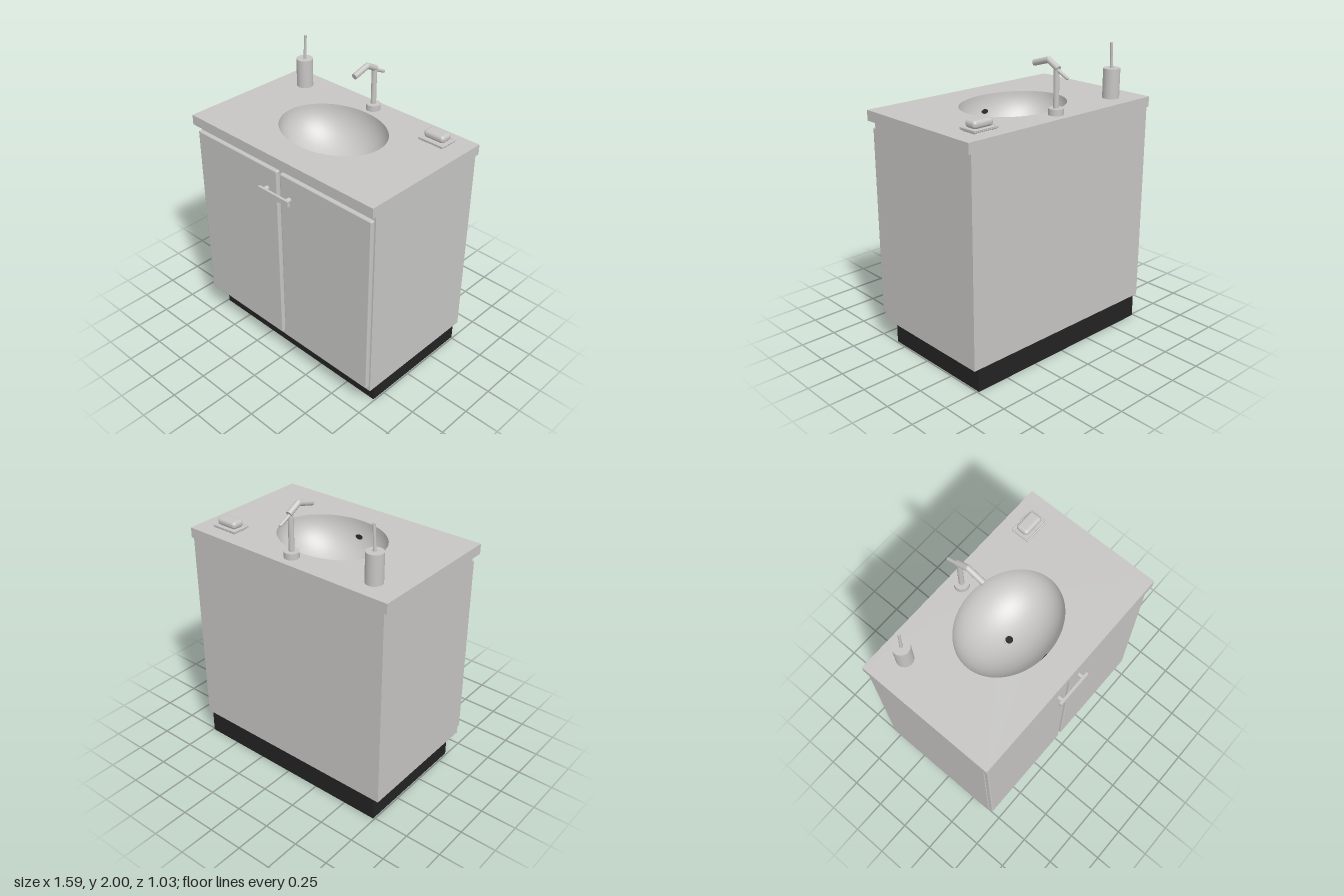
import * as THREE from 'three';
import { RoundedBoxGeometry } from 'three/addons/geometries/RoundedBoxGeometry.js';

const COUNTER_Y = 1.63;
const BOWL = { z: -0.03, rx: 0.388, rz: 0.31, depth: 0.3 };

export function createModel() {
  const model = new THREE.Group();
  model.name = 'washbasinCabinet';
  const grey = new THREE.MeshStandardMaterial({ name: 'light grey', color: 0xc6c5c3 });
  const bowlGrey = new THREE.MeshStandardMaterial({ name: 'bowl grey', color: 0xc8c7c5, side: THREE.DoubleSide });
  const black = new THREE.MeshStandardMaterial({ name: 'black', color: 0x232323 });

  const add = (name, geometry, material = grey, x = 0, y = 0, z = 0) => {
    const mesh = new THREE.Mesh(geometry, material);
    mesh.name = name;
    mesh.position.set(x, y, z);
    model.add(mesh);
    return mesh;
  };
  // Box given by its limits; a radius rounds the edges
  const box = (name, [x0, x1], [y0, y1], [z0, z1], material = grey, radius = 0) => {
    const size = [x1 - x0, y1 - y0, z1 - z0];
    const geometry = radius ? new RoundedBoxGeometry(...size, 3, radius) : new THREE.BoxGeometry(...size);
    return add(name, geometry, material, (x0 + x1) / 2, (y0 + y1) / 2, (z0 + z1) / 2);
  };
  // Round rod between two points
  const rod = (name, from, to, r0, r1 = r0) => {
    const a = new THREE.Vector3(...from), b = new THREE.Vector3(...to);
    const dir = b.clone().sub(a);
    const mesh = add(name, new THREE.CylinderGeometry(r1, r0, dir.length(), 24));
    mesh.position.copy(a).add(b).multiplyScalar(0.5);
    mesh.quaternion.setFromUnitVectors(new THREE.Vector3(0, 1, 0), dir.normalize());
    return mesh;
  };

  // Plinth and hollow cabinet, leaving room for the bowl
  box('plinth', [-0.74, 0.74], [0, 0.16], [-0.51, 0.345], black);
  box('cabinetFloor', [-0.755, 0.755], [0.16, 0.18], [-0.49, 0.405]);
  for (const s of [-1, 1]) {
    const outer = s * 0.775, inner = s * 0.755;
    box('cabinetSide', [Math.min(outer, inner), Math.max(outer, inner)], [0.16, 1.56], [-0.512, 0.425]);
  }
  box('cabinetBack', [-0.755, 0.755], [0.16, 1.56], [-0.512, -0.49]);
  box('cabinetFront', [-0.755, 0.755], [0.16, 1.56], [0.405, 0.425]);

  // Doors and the bar handle across them
  box('leftDoor', [0.013, 0.77], [0.2, 1.515], [0.426, 0.46], grey, 0.009);
  box('rightDoor', [-0.77, -0.013], [0.2, 1.515], [0.426, 0.46], grey, 0.009);
  box('handleBar', [-0.135, 0.135], [1.345, 1.382], [0.492, 0.51]);
  for (const x of [-0.1, 0.1]) rod('handlePost', [x, 1.363, 0.455], [x, 1.363, 0.495], 0.016);

  // Countertop with an oval cut-out
  const top = new THREE.Shape([[-0.795, -0.478], [0.795, -0.478], [0.795, 0.513], [-0.795, 0.513]]
    .map(([x, y]) => new THREE.Vector2(x, y)));
  const hole = new THREE.Path();
  hole.absellipse(0, -BOWL.z, BOWL.rx, BOWL.rz, 0, Math.PI * 2, true);
  top.holes.push(hole);
  const topGeometry = new THREE.ExtrudeGeometry(top, { depth: 0.07, bevelEnabled: false, curveSegments: 64 });
  topGeometry.rotateX(-Math.PI / 2);
  add('countertop', topGeometry, grey, 0, 1.56, 0);

  // Half-ellipsoid bowl
  const profile = [];
  for (let i = 0; i <= 24; i++) {
    const t = (i / 24) * Math.PI / 2;
    profile.push(new THREE.Vector2(Math.sin(t), -Math.cos(t)));
  }
  const bowlGeometry = new THREE.LatheGeometry(profile, 64);
  bowlGeometry.scale(BOWL.rx, BOWL.depth, BOWL.rz);
  add('bowl', bowlGeometry, bowlGrey, 0, COUNTER_Y, BOWL.z);

  // Drain ring and opening
  const bottom = COUNTER_Y - BOWL.depth;
  add('drainRing', new THREE.CylinderGeometry(0.035, 0.035, 0.008, 32), grey, 0, bottom + 0.002, BOWL.z);
  add('drainHole', new THREE.CylinderGeometry(0.025, 0.025, 0.004, 32), black, 0, bottom + 0.007, BOWL.z);

  // Overflow slot on the front wall of the bowl
  const slotZ = 0.288, slotY = -BOWL.depth * Math.sqrt(1 - (slotZ / BOWL.rz) ** 2);
  const normal = new THREE.Vector3(0, -slotY / BOWL.depth ** 2, -slotZ / BOWL.rz ** 2).normalize();
  const slot = add('overflowSlot', new THREE.CircleGeometry(1, 24), black);
  slot.scale.set(0.029, 0.016, 1);
  slot.position.set(0, COUNTER_Y + slotY, BOWL.z + slotZ).addScaledVector(normal, 0.004);
  slot.lookAt(slot.position.clone().add(normal));

  // Tap: base, stem, bent spout and lever
  const tapZ = -0.415;
  add('tapBase', new THREE.CylinderGeometry(0.049, 0.049, 0.042, 32), grey, 0, COUNTER_Y + 0.021, tapZ);
  rod('tapStem', [0, 1.65, tapZ], [0, 1.925, tapZ], 0.018);
  rod('tapNeck', [0, 1.918, -0.43], [0, 1.963, -0.345], 0.02);
  rod('tapSpout', [0, 1.963, -0.345], [0, 1.927, -0.222], 0.02);
  add('tapElbow', new THREE.SphereGeometry(0.02, 24, 16), grey, 0, 1.963, -0.345);
  rod('tapLever', [0, 1.912, -0.42], [0, 1.873, -0.505], 0.011);
  add('leverTip', new THREE.SphereGeometry(0.011, 16, 12), grey, 0, 1.873, -0.505);

  // Soap bottle with a slim upright stick
  add('bottle', new THREE.CylinderGeometry(0.057, 0.057, 0.2, 40), grey, -0.585, COUNTER_Y + 0.1, -0.355);
  rod('stickLower', [-0.583, 1.82, -0.355], [-0.579, 1.9, -0.355], 0.012, 0.009);
  rod('stickUpper', [-0.579, 1.9, -0.355], [-0.573, 2, -0.355], 0.009);

  // Soap dish with feet, raised rim and a bar of soap
  box('soapDish', [0.486, 0.676], [1.638, 1.652], [-0.424, -0.291], grey, 0.006);
  for (const z of [-0.419, -0.296]) rod('dishRim', [0.489, 1.652, z], [0.673, 1.652, z], 0.006);
  for (const x of [0.491, 0.671]) rod('dishRim', [x, 1.652, -0.421], [x, 1.652, -0.294], 0.006);
  for (const x of [0.51, 0.652]) box('dishFoot', [x - 0.01, x + 0.01], [1.63, 1.64], [-0.41, -0.305]);
  box('soap', [0.502, 0.658], [1.652, 1.704], [-0.406, -0.314], grey, 0.023);

  return model;
}
